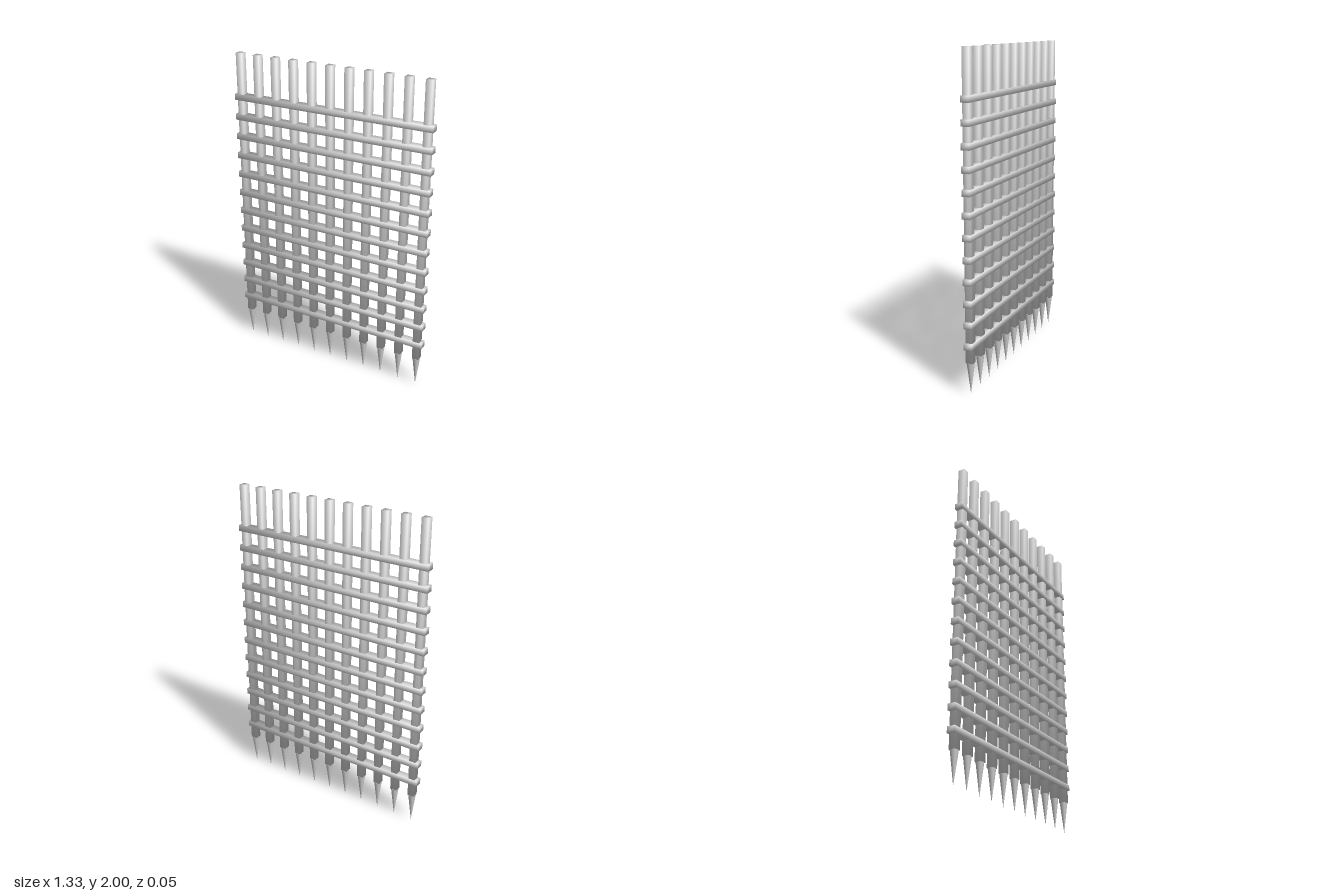
import * as THREE from 'three';

const material = new THREE.MeshStandardMaterial({ color: 0xcccccc });

// Square bar whose corner normals point diagonally outward for soft shading
function softBar(w, h, d) {
  const geo = new THREE.BoxGeometry(w, h, d);
  const p = geo.attributes.position, n = geo.attributes.normal;
  const k = 1 / Math.sqrt(3);
  for (let i = 0; i < p.count; i++) {
    n.setXYZ(i, Math.sign(p.getX(i)) * k, Math.sign(p.getY(i)) * k, Math.sign(p.getZ(i)) * k);
  }
  return geo;
}

function addMesh(parent, name, geometry, x, y) {
  const mesh = new THREE.Mesh(geometry, material);
  mesh.name = name;
  mesh.position.set(x, y, 0);
  parent.add(mesh);
  return mesh;
}

export function createModel() {
  const gate = new THREE.Group();
  gate.name = 'portcullis';

  const tipHeight = 0.195, top = 2;
  const postHeight = top - tipHeight;
  const postGeo = softBar(0.043, postHeight, 0.043);
  const tipGeo = new THREE.ConeGeometry(0.0245, tipHeight, 16);
  const railGeo = softBar(1.334, 0.038, 0.05);

  // Upright bars, each with a downward spike
  for (let i = 0; i < 11; i++) {
    const post = new THREE.Group();
    post.name = 'uprightBar';
    post.position.x = (i - 5) * 0.1255;
    addMesh(post, 'shaft', postGeo, 0, tipHeight + postHeight / 2);
    addMesh(post, 'spike', tipGeo, 0, tipHeight / 2).rotation.x = Math.PI;
    gate.add(post);
  }

  // Evenly spaced horizontal rails
  for (let i = 0; i < 12; i++) {
    addMesh(gate, 'crossRail', railGeo, 0, 0.301 + i * 0.1292);
  }

  return gate;
}
